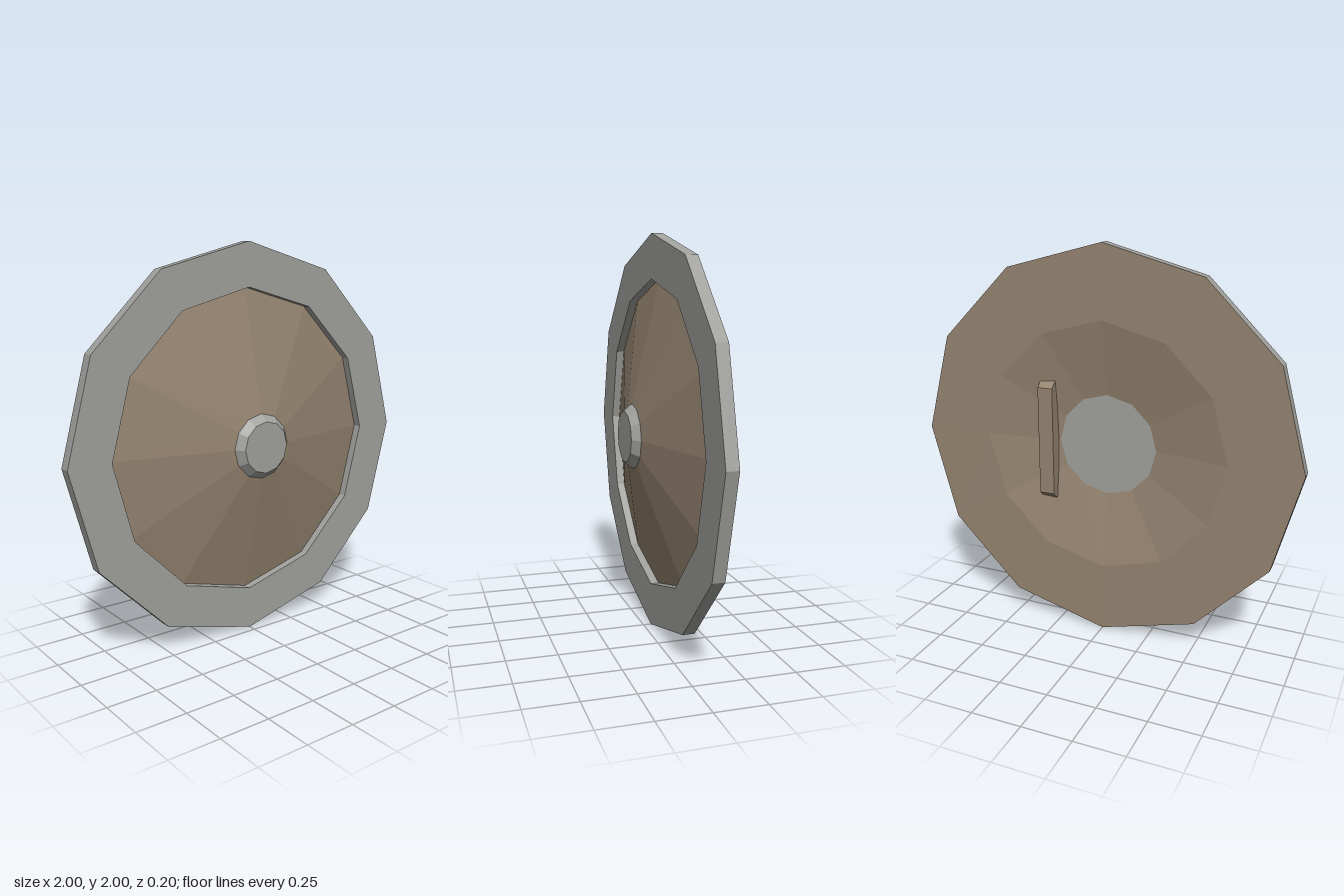
import * as THREE from 'three';

const SIDES = 12;
const metal = new THREE.MeshStandardMaterial({ color: 0xa0a09d });
metal.name = 'grey metal';
const wood = new THREE.MeshStandardMaterial({ color: 0x958470 });
wood.name = 'brown wood';

// Separate faces so every facet is shaded flat
function faceted(geometry) {
  const g = geometry.toNonIndexed();
  g.computeVertexNormals();
  return g;
}

// Twelve-sided surface turned around the z axis from [radius, z] points
function turned(name, profile, material) {
  const points = profile.map(([r, z]) => new THREE.Vector2(r, z));
  const geometry = new THREE.LatheGeometry(points, SIDES).rotateX(Math.PI / 2);
  const mesh = new THREE.Mesh(faceted(geometry), material);
  mesh.name = name;
  mesh.position.y = 1;
  return mesh;
}

export function createModel() {
  const shield = new THREE.Group();
  shield.name = 'shield';

  // Metal rim with a step down to the wooden cone
  shield.add(turned('rim', [[1, -0.1], [1, -0.04], [0.78, -0.04], [0.78, -0.082]], metal));
  shield.add(turned('frontCone', [[0.78, -0.082], [0.165, 0.06]], wood));
  shield.add(turned('boss', [[0.165, 0.06], [0.13, 0.1], [0, 0.1]], metal));

  // Back: flat wooden ring, hollow, and the metal base of the boss
  shield.add(turned('backBoard', [[0.26, -0.03], [0.64, -0.1], [1, -0.1]], wood));
  shield.add(turned('bossBase', [[0, -0.03], [0.26, -0.03]], metal));

  // Upright grip with sloping ends, set in the hollow
  const grip = new THREE.BoxGeometry(0.08, 0.56, 0.07);
  const p = grip.attributes.position;
  for (let i = 0; i < p.count; i++) {
    if (p.getZ(i) > 0) p.setY(i, Math.sign(p.getY(i)) * 0.34);
  }
  const handle = new THREE.Mesh(faceted(grip), wood);
  handle.name = 'handle';
  handle.position.set(0.31, 1, -0.065);
  shield.add(handle);

  return shield;
}
